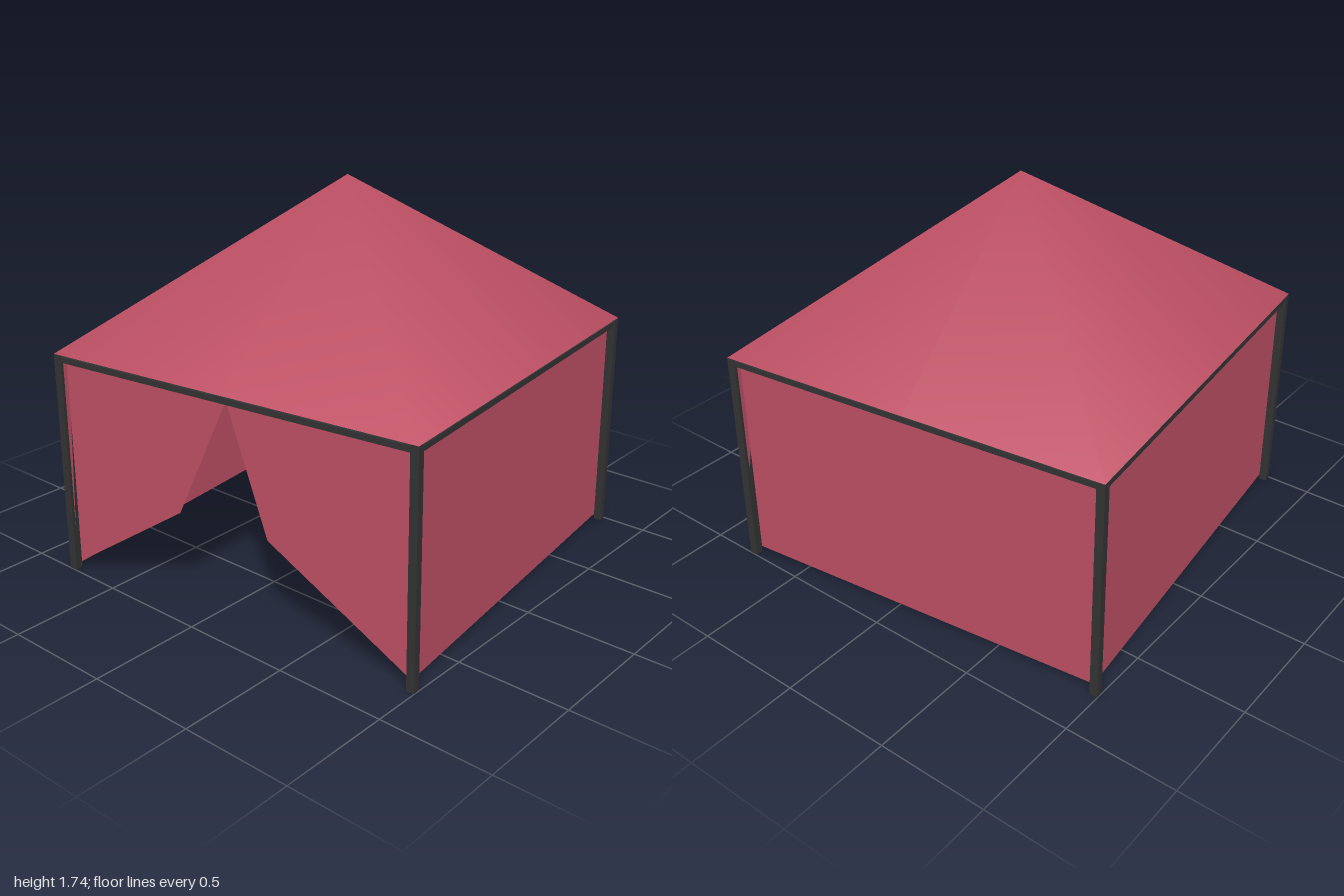
import * as THREE from 'three';

export function createModel() {
  const model = new THREE.Group();
  model.name = 'canopyTent';
  const cloth = new THREE.MeshStandardMaterial({ name: 'red cloth', color: 0xbe5064, side: THREE.DoubleSide });
  const metal = new THREE.MeshStandardMaterial({ name: 'dark metal', color: 0x333333 });

  const half = 0.9;          // half width of the square plan
  const post = 0.036;        // post thickness
  const beam = 0.026;        // top rail thickness
  const eave = 1.02, apex = 1.74;
  const inner = half - post; // plane of the cloth walls
  const wallTop = 0.99, wallBottom = 0.025;

  // The whole tent stands slightly turned
  const tent = new THREE.Group();
  tent.name = 'tent';
  tent.rotation.y = THREE.MathUtils.degToRad(6.7);
  model.add(tent);

  const add = (name, geometry, material, parent = tent) => {
    const mesh = new THREE.Mesh(geometry, material);
    mesh.name = name;
    parent.add(mesh);
    return mesh;
  };
  const panel = (points) =>
    new THREE.ShapeGeometry(new THREE.Shape(points.map(([x, y]) => new THREE.Vector2(x, y))));

  // Four sides: post, top rail and cloth; side 0 is the open front
  const sideNames = ['front', 'left', 'back', 'right'];
  sideNames.forEach((side, i) => {
    const group = new THREE.Group();
    group.name = side + 'Side';
    group.rotation.y = i * Math.PI / 2;
    tent.add(group);

    const centre = half - post / 2;
    add(side + 'Post', new THREE.BoxGeometry(post, eave, post), metal, group)
      .position.set(centre, eave / 2, centre);
    add(side + 'Rail', new THREE.BoxGeometry(2 * inner, beam, beam), metal, group)
      .position.set(0, 0.998, centre);

    if (i > 0) {
      const end = i === 2 ? inner : 0.885;
      add(side + 'Wall', panel([
        [-end, wallBottom], [end, wallBottom], [end, wallTop], [-end, wallTop],
      ]), cloth, group).position.z = inner;
    }
  });

  // Front curtains tied back from the middle
  add('rightCurtain', panel([
    [-inner, 0.03], [-0.263, 0.43], [0, 0.985], [0, wallTop], [-inner, wallTop],
  ]), cloth).position.z = inner;
  add('leftCurtain', panel([
    [inner, 0.03], [inner, wallTop], [0, wallTop], [0, 0.985], [0.19, 0.43],
  ]), cloth).position.z = inner;

  // Pyramid roof: corners and edge midpoints fanned to the peak, smooth normals
  const positions = [0, apex, 0];
  const index = [];
  const ring = [[-1, 1], [0, 1], [1, 1], [1, 0], [1, -1], [0, -1], [-1, -1], [-1, 0]];
  ring.forEach(([x, z], i) => {
    positions.push(x * half, eave, z * half);
    index.push(0, i + 1, (i + 1) % ring.length + 1);
  });
  const roof = new THREE.BufferGeometry();
  roof.setAttribute('position', new THREE.Float32BufferAttribute(positions, 3));
  roof.setIndex(index);
  roof.computeVertexNormals();
  add('roof', roof, cloth);

  return model;
}
